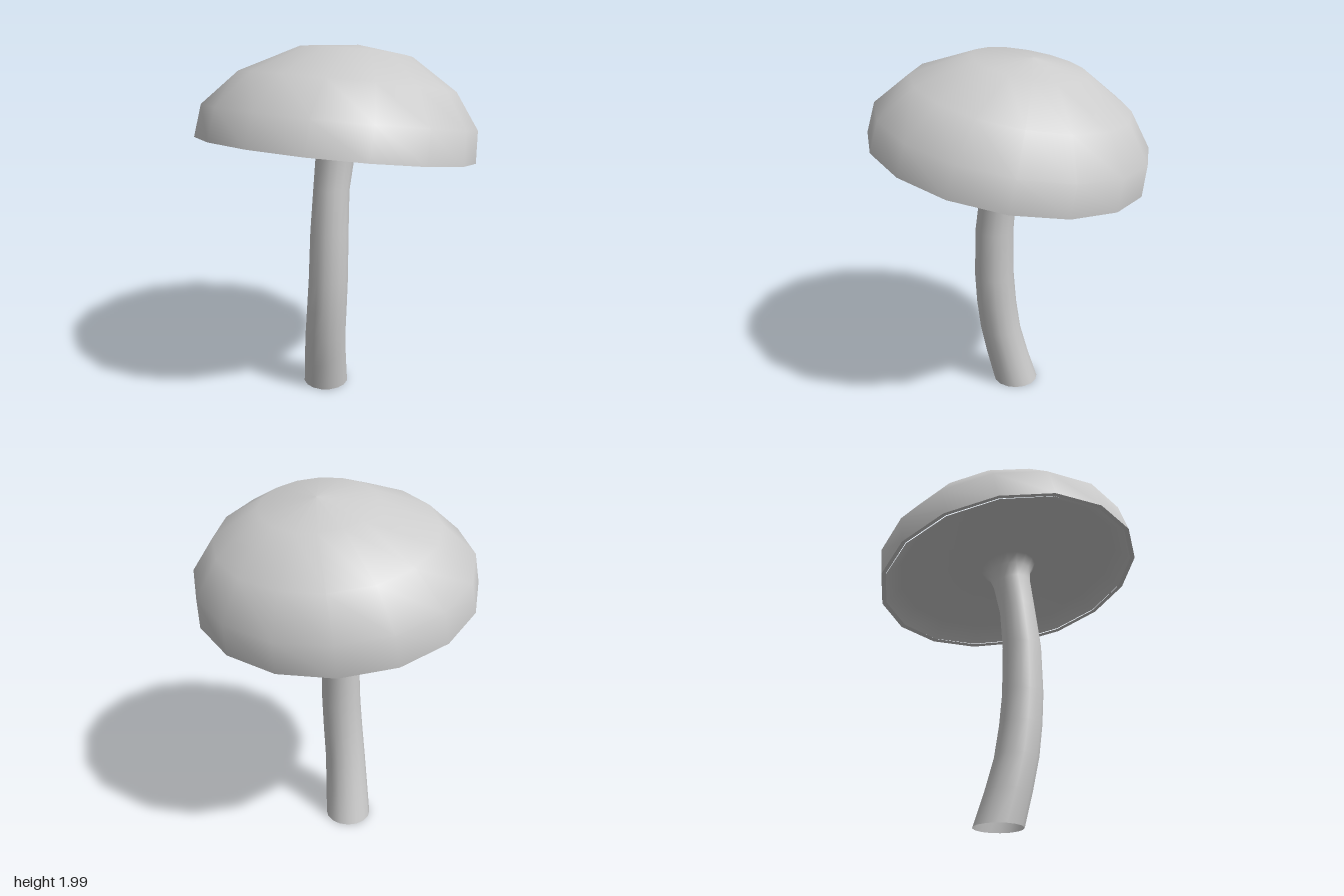
import * as THREE from 'three';

const SIDES = 16;
const PITCH = 0.18; // cap rises towards the front
const ROLL = 0.048; // and slightly towards its left
const TWIST = THREE.MathUtils.degToRad(10);

function addMesh(parent, name, geometry, side) {
  const mesh = new THREE.Mesh(geometry, new THREE.MeshStandardMaterial({ color: 0xcccccc, side }));
  mesh.name = name;
  parent.add(mesh);
}

// Turned surface from [radius, height] points, leaning back as it rises
function turned(profile) {
  const points = profile.map(([r, y]) => new THREE.Vector2(r, y));
  const geometry = new THREE.LatheGeometry(points, SIDES, Math.PI / 2 - TWIST);
  const position = geometry.attributes.position;
  for (let i = 0; i < position.count; i++) {
    const lean = (position.getY(i) / 0.5) ** 2;
    position.setX(i, position.getX(i) + 0.03 * lean);
    position.setZ(i, position.getZ(i) - 0.05 * lean);
  }
  return geometry;
}

// Smooth loft through rings of [x, y, z, radius, share of cap tilt]
function loft(rings) {
  const positions = [];
  const index = [];
  rings.forEach(([x, y, z, r, tilt], j) => {
    for (let i = 0; i < SIDES; i++) {
      const a = TWIST + (i / SIDES) * Math.PI * 2;
      const dx = Math.cos(a) * r;
      const dz = Math.sin(a) * r;
      positions.push(x + dx, y + tilt * (ROLL * dx + PITCH * dz), z + dz);
      if (j === 0) continue;
      const next = (i + 1) % SIDES;
      const low = (j - 1) * SIDES;
      const high = j * SIDES;
      index.push(low + i, high + i, low + next, low + next, high + i, high + next);
    }
  });
  const geometry = new THREE.BufferGeometry();
  geometry.setAttribute('position', new THREE.Float32BufferAttribute(positions, 3));
  geometry.setIndex(index);
  geometry.computeVertexNormals();
  return geometry;
}

export function createModel() {
  const model = new THREE.Group();
  model.name = 'mushroom';

  // Cap: tilted dome with a thin lip
  const cap = new THREE.Group();
  cap.name = 'cap';
  cap.position.set(0, 1.44, 0.005);
  cap.rotation.set(-PITCH, 0, ROLL);
  model.add(cap);
  addMesh(cap, 'capDome', turned([[0.745, 0], [0.728, 0.17], [0.575, 0.355], [0.3, 0.512], [0, 0.55]]));
  addMesh(cap, 'capLip', turned([[0.72, 0.004], [0.745, 0]]), THREE.DoubleSide);

  // Bent open-ended stalk that flares out into the hollow underside of the cap
  addMesh(model, 'stalkAndUnderside', loft([
    [-0.085, 0, 0.005, 0.13, 0],
    [-0.05, 0.18, 0.04, 0.123, 0],
    [-0.018, 0.36, 0.068, 0.117, 0],
    [0.006, 0.54, 0.078, 0.114, 0],
    [0.022, 0.72, 0.081, 0.111, 0],
    [0.026, 1.0, 0.075, 0.106, 0],
    [0.018, 1.23, 0.052, 0.099, 0.5],
    [0.012, 1.41, 0.018, 0.105, 1],
    [0.003, 1.48, 0.008, 0.12, 1],
    [0, 1.525, 0, 0.155, 1],
    [0, 1.525, -0.008, 0.62, 1],
    [0, 1.445, 0.005, 0.712, 1],
  ]), THREE.DoubleSide);

  return model;
}
